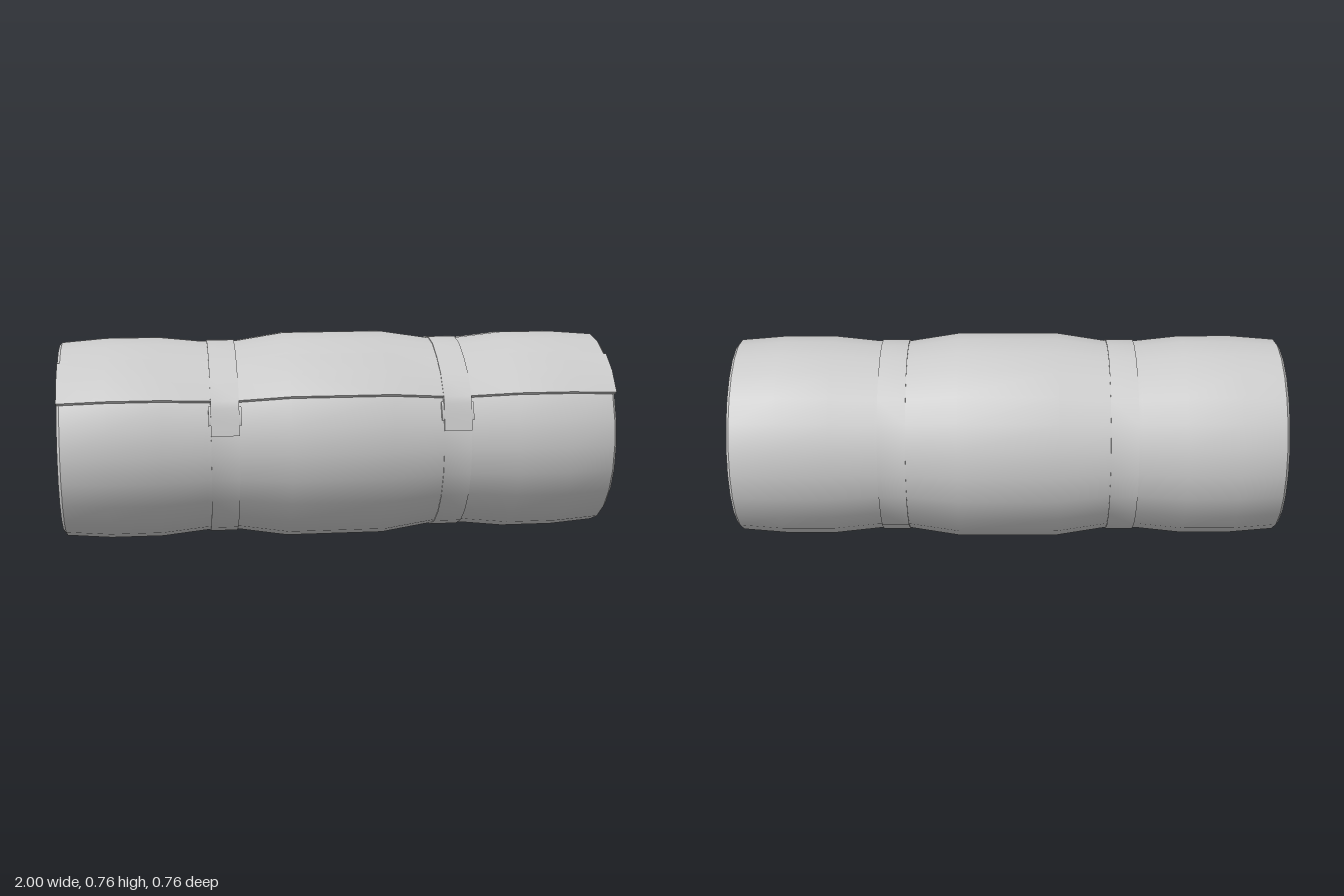
import * as THREE from 'three';
import { toCreasedNormals } from 'three/addons/utils/BufferGeometryUtils.js';

const AXIS_Y = 0.382;
const RAD = Math.PI / 180;
const material = new THREE.MeshStandardMaterial({ color: 0xcccccc, side: THREE.DoubleSide });

// Outer profile of the roll: [x, radius], pinched where the straps sit
const half = [[0.18, 0.382], [0.36, 0.354], [0.48, 0.354], [0.64, 0.371], [0.83, 0.371], [0.99, 0.358]];
const profile = [...half.map(([x, r]) => [-x, r]).reverse(), ...half];

function rollRadius(x) {
  const a = Math.abs(x);
  if (a <= half[0][0]) return half[0][1];
  for (let i = 1; i < half.length; i++) {
    const [x0, r0] = half[i - 1], [x1, r1] = half[i];
    if (a <= x1) return r0 + (r1 - r0) * (a - x0) / (x1 - x0);
  }
  return half[half.length - 1][1];
}

function addMesh(group, name, geometry, crease = 0.6) {
  const mesh = new THREE.Mesh(toCreasedNormals(geometry, crease), material);
  mesh.name = name;
  group.add(mesh);
}

// Closed curved slab around the x axis; angles run from the top towards the front
function curvedSlab(xs, angles, outer, inner) {
  const positions = [], index = [];
  const n = angles.length, ring = 2 * n;
  const put = (x, a, r) => positions.push(x, AXIS_Y + r * Math.cos(a * RAD), r * Math.sin(a * RAD));
  const quad = (a, b, c, d) => index.push(a, b, c, a, c, d);
  for (const x of xs) {
    angles.forEach((a) => put(x, a, outer(x, a)));
    [...angles].reverse().forEach((a) => put(x, a, inner(x, a)));
  }
  for (let i = 0; i < xs.length - 1; i++) {
    for (let j = 0; j < ring; j++) {
      const k = (j + 1) % ring, o = i * ring;
      quad(o + j, o + k, o + ring + k, o + ring + j);
    }
  }
  const last = (xs.length - 1) * ring;
  for (let j = 0; j < n - 1; j++) {
    const p = ring - 1 - j, q = ring - 2 - j;
    quad(last + p, last + j, last + j + 1, last + q);
    quad(q, j + 1, j, p);
  }
  const geometry = new THREE.BufferGeometry();
  geometry.setAttribute('position', new THREE.Float32BufferAttribute(positions, 3));
  geometry.setIndex(index);
  return geometry;
}

// Rolled mat with a spiral hole running through it
function rollGeometry() {
  const points = [
    [0.105, -1], [0.346, -1], ...profile.map(([x, r]) => [r, x]),
    [0.346, 1], [0.105, 1], [0.096, 0.993], [0.092, 0.975],
    [0.092, -0.975], [0.096, -0.993], [0.105, -1],
  ].map(([r, x]) => new THREE.Vector2(r, x));
  const geometry = new THREE.LatheGeometry(points, 24);
  geometry.rotateZ(-Math.PI / 2);
  const p = geometry.attributes.position;
  for (let i = 0; i < p.count; i++) {
    const y = p.getY(i), z = p.getZ(i);
    if (Math.hypot(y, z) > 0.12) continue;
    // The radius grows through one turn, with a step at the front
    const turn = (Math.atan2(z, y) / RAD - 97 + 720) % 360 / 360;
    const s = 0.88 + 0.25 * turn;
    p.setY(i, y * s);
    p.setZ(i, z * s);
  }
  geometry.translate(0, AXIS_Y, 0);
  geometry.deleteAttribute('uv');
  return geometry;
}

export function createModel() {
  const group = new THREE.Group();
  addMesh(group, 'roll', rollGeometry());

  // Loose outer edge of the mat, lifting off the roll
  const lift = (a) => 0.0195 * Math.min(1, Math.max(0, (a - 30) / 29.5)) ** 0.8;
  const flapXs = [-1, ...profile.map(([x]) => x), 1];
  addMesh(group, 'flap', curvedSlab(flapXs, [30, 45, 59.5],
    (x, a) => rollRadius(x) + lift(a),
    (x, a) => rollRadius(x) - 0.008 + lift(a) * 0.4));

  const around = Array.from({ length: 25 }, (_, i) => i * 15);
  for (const side of [-1, 1]) {
    const strap = new THREE.Group();
    strap.name = side > 0 ? 'leftStrap' : 'rightStrap';
    const xs = [side * 0.415 - 0.05, side * 0.415 + 0.05];
    addMesh(strap, 'strapBand', curvedSlab(xs, around, () => 0.358, () => 0.34));

    // Strap end passing over the flap edge
    const over = { 30: 0.358, 45: 0.369, 60: 0.377, 64: 0.374, 70: 0.368, 79: 0.364 };
    addMesh(strap, 'strapEnd', curvedSlab(xs, Object.keys(over).map(Number),
      (x, a) => over[a], () => 0.345));

    // Small loop the strap end passes through
    const loopXs = [-0.058, -0.052, 0.052, 0.058].map((d) => side * 0.415 + d);
    addMesh(strap, 'strapLoop', curvedSlab(loopXs, [62, 64, 71, 73],
      (x, a) => (a > 63 && a < 72 ? 0.366 : 0.361), () => 0.345));
    group.add(strap);
  }
  return group;
}
